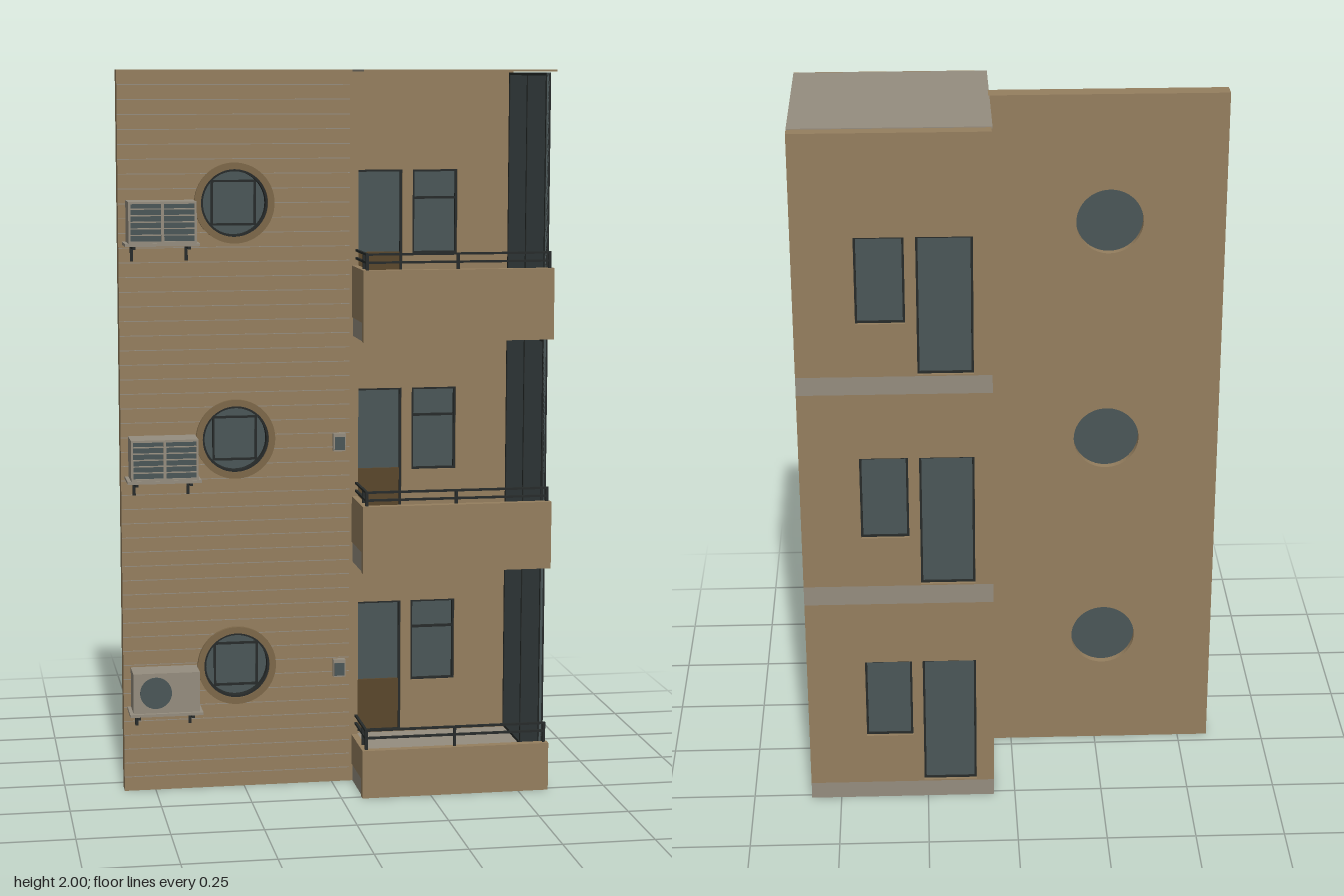
import * as THREE from 'three';

const mat = (name, color, side = THREE.FrontSide) => {
  const m = new THREE.MeshStandardMaterial({ color, side });
  m.name = name;
  return m;
};

export function createModel() {
  const root = new THREE.Group();
  root.name = 'apartmentFacade';
  const brown = mat('wallBrown', 0x957f5f);
  const grey = mat('concreteGrey', 0x958d7f);
  const glass = mat('glass', 0x4a5657);
  const dark = mat('darkMetal', 0x272b2a);
  const panelBrown = mat('doorPanelBrown', 0x5a472c);
  const trim = mat('windowTrim', 0x7d6849);

  const add = (name, geo, m, parent) => {
    const mesh = new THREE.Mesh(geo, m);
    mesh.name = name;
    parent.add(mesh);
    return mesh;
  };
  // Box given by its minimum and maximum corners
  const box = (name, m, x0, x1, y0, y1, z0, z1, parent = root) => {
    const mesh = add(name, new THREE.BoxGeometry(x1 - x0, y1 - y0, z1 - z0), m, parent);
    mesh.position.set((x0 + x1) / 2, (y0 + y1) / 2, (z0 + z1) / 2);
    return mesh;
  };
  const rectPath = (x0, x1, y0, y1, Type = THREE.Path) => {
    const p = new Type();
    p.moveTo(x0, y0);
    p.lineTo(x1, y0);
    p.lineTo(x1, y1);
    p.lineTo(x0, y1);
    p.closePath();
    return p;
  };
  // Flat slab between z0 and z1 with holes cut through it
  const holed = (name, m, outline, holes, z0, z1, parent = root) => {
    outline.holes.push(...holes);
    const geo = new THREE.ExtrudeGeometry(outline, { depth: z1 - z0, bevelEnabled: false, curveSegments: 32 });
    geo.translate(0, 0, z0);
    return add(name, geo, m, parent);
  };
  const frame = (name, m, x0, x1, y0, y1, t, z0, z1, parent) =>
    holed(name, m, rectPath(x0, x1, y0, y1, THREE.Shape),
      [rectPath(x0 + t, x1 - t, y0 + t, y1 - t)], z0, z1, parent);
  const circle = (x, y, r, Type = THREE.Path) => {
    const p = new Type();
    p.absarc(x, y, r, 0, Math.PI * 2, false);
    return p;
  };

  // Flat facade with round openings and thin plank joints
  const portX = -0.27, portY = [0.35, 0.99, 1.64];
  holed('facadeWall', brown, rectPath(-0.587, 0.06, 0, 2, THREE.Shape),
    portY.map(y => circle(portX, y, 0.092)), 0.035, 0.085);
  const joints = new THREE.Group();
  joints.name = 'plankJoints';
  root.add(joints);
  for (let i = 1; i < 50; i++) {
    const y = i * 0.04;
    const near = portY.find(p => Math.abs(p - y) < 0.108);
    const spans = near === undefined ? [[-0.587, 0.05]] : (() => {
      const h = Math.sqrt(0.108 ** 2 - (near - y) ** 2);
      return [[-0.587, portX - h], [portX + h, 0.05]];
    })();
    spans.forEach(([a, b]) => box('plankJoint', grey, a, b, y - 0.0012, y + 0.0012, 0.084, 0.0856, joints));
  }

  // Round windows
  portY.forEach(y => {
    const g = new THREE.Group();
    g.name = 'roundWindow';
    g.position.set(portX, y, 0);
    root.add(g);
    holed('outerRing', trim, circle(0, 0, 0.11, THREE.Shape), [circle(0, 0, 0.092)], 0.08, 0.097, g);
    holed('innerRing', dark, circle(0, 0, 0.093, THREE.Shape), [circle(0, 0, 0.086)], 0.06, 0.09, g);
    const pane = add('roundPane', new THREE.CylinderGeometry(0.092, 0.092, 0.01, 40), glass, g);
    pane.rotation.x = Math.PI / 2;
    pane.position.z = 0.06;
    frame('squareFrame', dark, -0.062, 0.062, -0.062, 0.062, 0.006, 0.06, 0.072, g);
  });

  // Outdoor cooling units on brackets
  [0.235, 0.885, 1.53].forEach((y, i) => {
    const g = new THREE.Group();
    g.name = 'coolingUnit';
    g.position.y = y;
    root.add(g);
    box('unitBody', grey, -0.567, -0.383, 0.008, 0.12, 0.088, 0.172, g);
    box('unitTray', grey, -0.577, -0.375, 0, 0.008, 0.085, 0.182, g);
    [-0.552, -0.403].forEach(x => {
      box('bracketArm', dark, x - 0.004, x + 0.004, -0.008, 0, 0.085, 0.18, g);
      box('bracketLeg', dark, x - 0.004, x + 0.004, -0.045, 0, 0.085, 0.095, g);
    });
    if (i === 0) {
      const fan = add('fanGrille', new THREE.CylinderGeometry(0.044, 0.044, 0.006, 28), glass, g);
      fan.rotation.x = Math.PI / 2;
      fan.position.set(-0.505, 0.065, 0.173);
      return;
    }
    box('grilleBack', glass, -0.562, -0.388, 0.014, 0.114, 0.17, 0.174, g);
    frame('grilleFrame', grey, -0.567, -0.383, 0.008, 0.12, 0.006, 0.172, 0.18, g);
    box('grillePost', grey, -0.479, -0.471, 0.012, 0.116, 0.172, 0.18, g);
    for (let k = 1; k < 6; k++)
      box('louver', grey, -0.562, -0.388, 0.0115 + k * 0.0175, 0.0145 + k * 0.0175, 0.172, 0.179, g);
  });

  // Small meter boxes
  [0.307, 0.95].forEach(y => {
    box('meterBox', grey, 0.003, 0.037, y, y + 0.05, 0.085, 0.101);
    box('meterFace', glass, 0.006, 0.034, y + 0.004, y + 0.04, 0.1, 0.103);
  });

  // Balcony bay, one storey at a time
  [
    { y: 0, floor: 0.05, top: 0.633, wall: 0.135, rail: 0.192 },
    { y: 0.633, floor: 0.69, top: 1.27, wall: 0.82, rail: 0.86 },
    { y: 1.27, floor: 1.322, top: 1.998, wall: 1.465, rail: 1.51 },
  ].forEach((s, i) => {
    const g = new THREE.Group();
    g.name = 'balconyStorey';
    root.add(g);
    box('floorSlab', grey, 0.06, 0.585, s.y, s.floor, -0.265, 0.242, g);
    const wy = i * 0.634, doorTop = 0.447 + wy, winBottom = 0.205 + wy;
    const door = [0.11, 0.26, s.floor + 0.004, doorTop];
    const win = [0.29, 0.422, winBottom, doorTop];
    holed('backWall', brown, rectPath(0.06, 0.585, s.floor, s.top, THREE.Shape),
      [rectPath(...door), rectPath(...win)], -0.265, -0.23, g);
    box('sideWall', brown, 0.06, 0.075, s.floor, s.top, -0.23, 0.085, g);
    if (i === 0) box('sideWallFoot', brown, 0.06, 0.075, 0, s.floor, 0.03, 0.0851, g);

    // Door and window set in the back wall
    box('doorGlass', glass, door[0], door[1], door[2], door[3], -0.252, -0.246, g);
    box('doorPanel', panelBrown, 0.116, 0.254, s.floor + 0.004, 0.21 + wy, -0.246, -0.238, g);
    frame('doorFrame', dark, ...door, 0.006, -0.256, -0.236, g);
    box('windowGlass', glass, ...win, -0.252, -0.246, g);
    frame('windowFrame', dark, ...win, 0.006, -0.256, -0.236, g);
    box('windowBar', dark, 0.29, 0.422, 0.362 + wy, 0.369 + wy, -0.25, -0.238, g);

    // Solid parapet
    box('parapetFront', brown, 0.057, 0.585, s.y, s.wall, 0.242, 0.265, g);
    box('parapetSide', brown, 0.057, 0.075, s.floor, s.wall, 0.085, 0.242, g);

    // Handrail along the front, returning at the left side
    [s.rail, s.rail - 0.022].forEach(y => {
      box('frontRail', dark, 0.066, 0.578, y - 0.006, y, 0.245, 0.252, g);
      box('sideRail', dark, 0.066, 0.073, y - 0.006, y, 0.085, 0.252, g);
    });
    [0.07, 0.32, 0.575].forEach(x =>
      box('railPost', dark, x - 0.004, x + 0.004, s.wall, s.rail, 0.245, 0.252, g));
    box('sideRailPost', dark, 0.066, 0.073, s.wall, s.rail, 0.195, 0.202, g);

    // Glazed right side
    const y0 = s.floor + 0.004, y1 = s.top - 0.006;
    box('sideGlass', glass, 0.574, 0.58, y0, y1, -0.23, 0.2, g);
    [-0.226, -0.016, 0.196].forEach(z =>
      box('glassPost', dark, 0.572, 0.585, y0, y1, z - 0.004, z + 0.004, g));
    [y0, y1 - 0.008].forEach(y =>
      box('glassRail', dark, 0.572, 0.584, y, y + 0.008, -0.23, 0.2, g));
  });

  // Thin roof sheet
  box('roof', grey, 0.057, 0.585, 1.994, 2, -0.229, 0.262);
  box('roofEdge', brown, 0.057, 0.585, 1.994, 2, 0.262, 0.265);
  return root;
}
